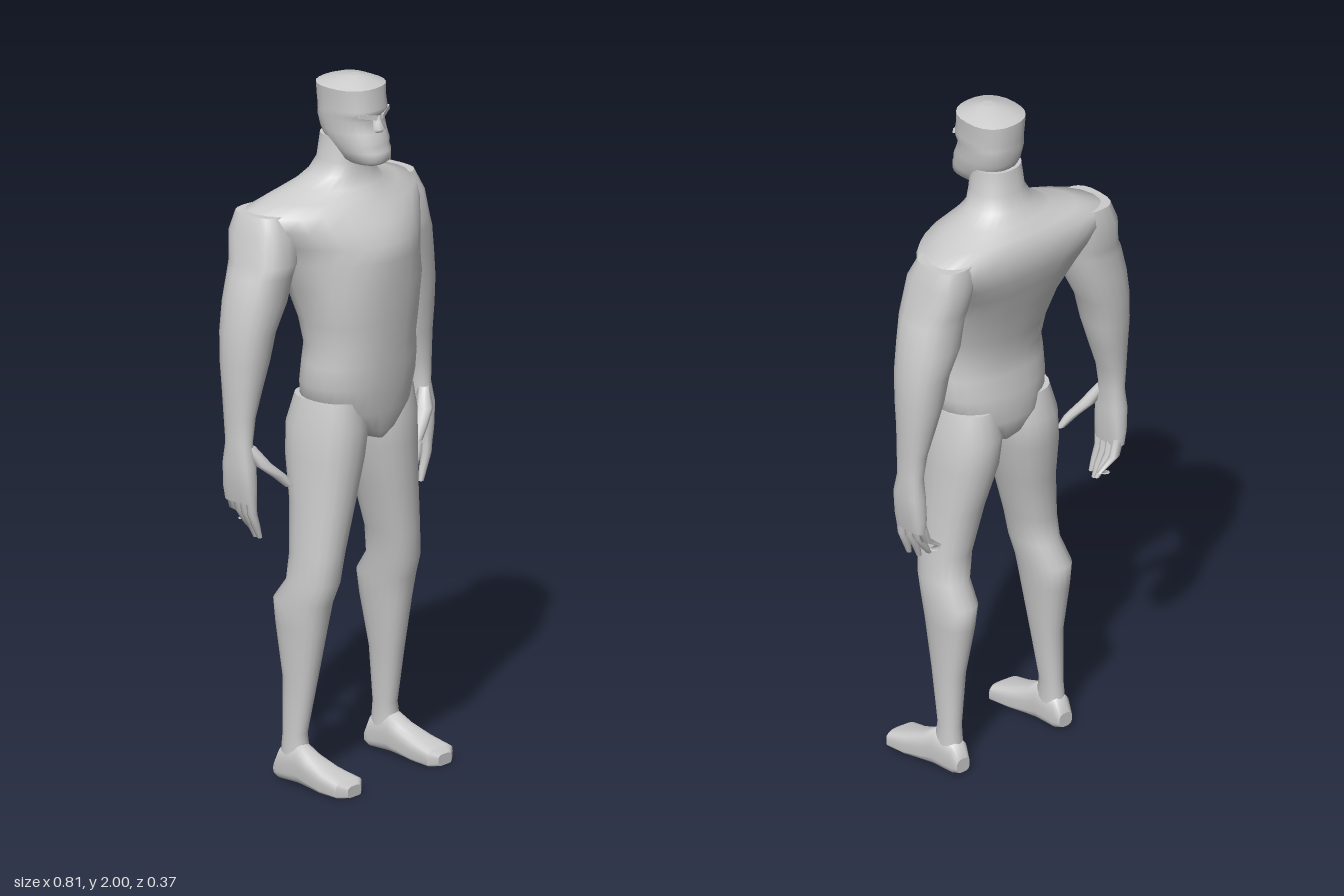
import * as THREE from 'three';

const material = new THREE.MeshStandardMaterial({ color: 0xcccccc });

// Skin closed rings along an axis.
// Ring: [t, x0, x1, b0, b1, frontPower, backPower, widest]; b is z when the
// axis is y, and y when the axis is z. A repeated ring makes a sharp crease.
function loft(name, rings, { n = 20, axis = 'y', mirror = false } = {}) {
  if (rings[0][0] > rings[rings.length - 1][0]) rings = [...rings].reverse();
  const pos = [], idx = [];
  const put = (x, t, b) => {
    const sx = mirror ? -x : x;
    if (axis === 'y') pos.push(sx, t, b);
    else pos.push(sx, b, t);
    return pos.length / 3 - 1;
  };
  const flip = (axis === 'z') !== mirror;
  const tri = (a, b, c) => (flip ? idx.push(a, c, b) : idx.push(a, b, c));
  const pw = (v, p) => Math.sign(v) * Math.pow(Math.abs(v), p);
  const addRing = ([t, x0, x1, b0, b1, pf = 0.9, pb = pf, mid = (b0 + b1) / 2]) => {
    const first = pos.length / 3;
    for (let j = 0; j < n; j++) {
      const a = (j / n) * Math.PI * 2, c = Math.cos(a), s = Math.sin(a);
      const p = s >= 0 ? pf : pb;
      put((x0 + x1) / 2 + ((x1 - x0) / 2) * pw(c, p), t, mid + (s >= 0 ? b1 - mid : mid - b0) * pw(s, p));
    }
    return first;
  };
  const starts = rings.map(addRing);
  for (let i = 0; i + 1 < rings.length; i++) {
    if (rings[i][0] === rings[i + 1][0]) continue;
    for (let j = 0; j < n; j++) {
      const k = (j + 1) % n, a = starts[i], b = starts[i + 1];
      tri(a + j, b + j, a + k);
      tri(b + j, b + k, a + k);
    }
  }
  // End caps
  [rings[0], rings[rings.length - 1]].forEach((r, end) => {
    const f = addRing(r), c = put((r[1] + r[2]) / 2, r[0], (r[3] + r[4]) / 2);
    for (let j = 0; j < n; j++) {
      const k = (j + 1) % n;
      end ? tri(c, f + k, f + j) : tri(c, f + j, f + k);
    }
  });
  const g = new THREE.BufferGeometry();
  g.setAttribute('position', new THREE.Float32BufferAttribute(pos, 3));
  g.setIndex(idx);
  g.computeVertexNormals();
  const mesh = new THREE.Mesh(g, material);
  mesh.name = name;
  return mesh;
}

// Centred ring: y, half width, back z, front z, powers, z of widest point
const sym = ([y, w, zb, zf, ...rest]) => [y, -w, w, zb, zf, ...rest];

// Digit: [x, y, z, half x, half z] stations
const digit = (name, stations, mirror) =>
  loft(name, stations.map(([x, y, z, hx, hz]) => [y, x - hx, x + hx, z - hz, z + hz]), { n: 8, mirror });

function makeArm(mirror) {
  const arm = new THREE.Group();
  arm.name = mirror ? 'rightArm' : 'leftArm';
  // Shoulder cap, upper arm, forearm and palm
  arm.add(loft('armAndPalm', [
    [1.645, 0.19, 0.315, -0.165, -0.01, 0.7],
    [1.645, 0.19, 0.315, -0.165, -0.01, 0.7],
    [1.59, 0.19, 0.338, -0.178, 0.015, 0.75],
    [1.51, 0.2, 0.352, -0.168, 0.025, 0.8],
    [1.48, 0.205, 0.37, -0.162, 0.02, 0.85],
    [1.4, 0.22, 0.39, -0.165, 0.012],
    [1.32, 0.26, 0.402, -0.157, 0.0],
    [1.24, 0.277, 0.405, -0.15, -0.01],
    [1.16, 0.302, 0.403, -0.137, -0.022],
    [1.08, 0.33, 0.401, -0.125, -0.03],
    [1.01, 0.342, 0.398, -0.118, -0.033],
    [0.95, 0.34, 0.402, -0.124, -0.022, 0.75],
    [0.88, 0.342, 0.393, -0.128, -0.02, 0.7],
    [0.84, 0.345, 0.385, -0.125, -0.022, 0.7],
  ], { mirror }));
  // Four fingers, curling further inward toward the back
  for (let i = 0; i < 4; i++) {
    const z = -0.034 - i * 0.026, curl = i * 0.013;
    const tip = 0.73 + [0.005, 0, 0.015, 0.045][i];
    arm.add(digit('finger', [
      [0.366, 0.87, z, 0.016, 0.013],
      [0.362 - curl * 0.4, 0.81, z - 0.001, 0.015, 0.0125],
      [0.347 - curl * 0.8, 0.77, z, 0.012, 0.011],
      [0.335 - curl, tip, z + 0.003, 0.007, 0.007],
    ].sort((a, b) => b[1] - a[1]), mirror));
  }
  // Thumb
  arm.add(digit('thumb', [
    [0.36, 1.0, -0.045, 0.014, 0.018],
    [0.337, 0.95, -0.02, 0.026, 0.022],
    [0.295, 0.912, 0.003, 0.023, 0.017],
    [0.268, 0.878, 0.017, 0.014, 0.01],
  ], mirror));
  return arm;
}

function makeLeg(mirror) {
  const leg = new THREE.Group();
  leg.name = mirror ? 'rightLeg' : 'leftLeg';
  // Thigh, knee, calf and ankle
  leg.add(loft('thighAndCalf', [
    [1.1, 0.02, 0.175, -0.09, 0.125],
    [1.02, 0.008, 0.194, -0.112, 0.132],
    [0.93, 0.02, 0.2, -0.108, 0.126],
    [0.8, 0.055, 0.207, -0.078, 0.114],
    [0.66, 0.092, 0.22, -0.06, 0.102],
    [0.58, 0.106, 0.226, -0.065, 0.096],
    [0.52, 0.111, 0.234, -0.107, 0.076],
    [0.45, 0.12, 0.228, -0.1, 0.062],
    [0.3, 0.14, 0.218, -0.073, 0.034],
    [0.14, 0.157, 0.216, -0.068, 0.004],
    [0.07, 0.155, 0.22, -0.075, 0.015],
  ], { mirror }));
  // Foot, heel to toe
  leg.add(loft('foot', [
    [-0.09, 0.165, 0.212, 0.008, 0.05, 0.7],
    [-0.07, 0.156, 0.22, 0.003, 0.095, 0.8, 0.5],
    [0.0, 0.152, 0.226, 0.004, 0.118, 0.95, 0.5],
    [0.04, 0.148, 0.232, 0.004, 0.092, 0.9, 0.4],
    [0.1, 0.142, 0.24, 0.0, 0.066, 0.8, 0.3],
    [0.165, 0.135, 0.243, 0.0, 0.045, 0.6, 0.3],
    [0.165, 0.135, 0.243, 0.0, 0.045, 0.6, 0.3],
    [0.185, 0.16, 0.215, 0.0, 0.032, 0.6, 0.3],
  ], { axis: 'z', mirror }));
  return leg;
}

export function createModel() {
  const model = new THREE.Group();
  model.name = 'standingFigure';

  // Trunk from crotch through chest and shoulders to neck
  model.add(loft('torsoAndNeck', [
    [0.975, 0.02, -0.06, 0.122],
    [1.0, 0.085, -0.085, 0.138],
    [1.06, 0.165, -0.105, 0.15],
    [1.14, 0.18, -0.1, 0.16],
    [1.2, 0.18, -0.092, 0.165],
    [1.25, 0.172, -0.09, 0.168],
    [1.32, 0.183, -0.105, 0.174],
    [1.42, 0.2, -0.135, 0.18, 0.9, 0.75],
    [1.5, 0.225, -0.163, 0.183, 0.95, 0.7, -0.05],
    [1.55, 0.255, -0.178, 0.182, 1.05, 0.65, -0.07],
    [1.6, 0.3, -0.186, 0.152, 1.1, 0.6, -0.08],
    [1.64, 0.312, -0.176, 0.117, 1.1, 0.6, -0.085],
    [1.665, 0.225, -0.16, 0.095, 1.1, 0.8, -0.075],
    [1.69, 0.145, -0.135, 0.075, 1.05, 0.9, -0.05],
    [1.72, 0.096, -0.11, 0.053],
    [1.76, 0.077, -0.088, 0.055],
    [1.83, 0.07, -0.078, 0.05],
  ].map(sym), { n: 28 }));

  // Head with jaw, mouth crease, eye hollow, brow and flat crown
  const head = new THREE.Group();
  head.name = 'head';
  head.add(loft('skull', [
    [1.76, 0.042, 0.0, 0.118, 0.8],
    [1.772, 0.058, -0.01, 0.134, 0.85],
    [1.797, 0.068, -0.035, 0.132, 0.9],
    [1.812, 0.071, -0.05, 0.121, 0.85],
    [1.825, 0.075, -0.065, 0.125, 0.9],
    [1.85, 0.079, -0.078, 0.112, 0.9],
    [1.885, 0.08, -0.083, 0.096, 0.8],
    [1.9, 0.083, -0.084, 0.11, 0.85],
    [1.915, 0.083, -0.085, 0.111, 0.85],
    [1.94, 0.084, -0.087, 0.105, 0.85],
    [1.976, 0.087, -0.088, 0.102, 0.85],
    [1.976, 0.087, -0.088, 0.102, 0.85],
    [1.992, 0.05, -0.045, 0.065],
    [2.0, 0.015, 0.005, 0.035],
  ].map(sym), { n: 24 }));
  head.add(loft('nose', [
    [1.905, 0.01, 0.07, 0.108],
    [1.88, 0.011, 0.07, 0.118],
    [1.862, 0.018, 0.07, 0.131],
    [1.852, 0.017, 0.07, 0.12],
  ].map(sym), { n: 8 }));
  // Frowning brows
  for (const s of [1, -1]) {
    const brow = new THREE.Mesh(new THREE.BoxGeometry(0.056, 0.013, 0.022), material);
    brow.name = 'brow';
    brow.position.set(s * 0.033, 1.9, 0.094);
    brow.rotation.set(0, s * 0.4, s * 0.22);
    head.add(brow);
  }
  model.add(head);

  for (const mirror of [false, true]) model.add(makeArm(mirror), makeLeg(mirror));
  return model;
}
